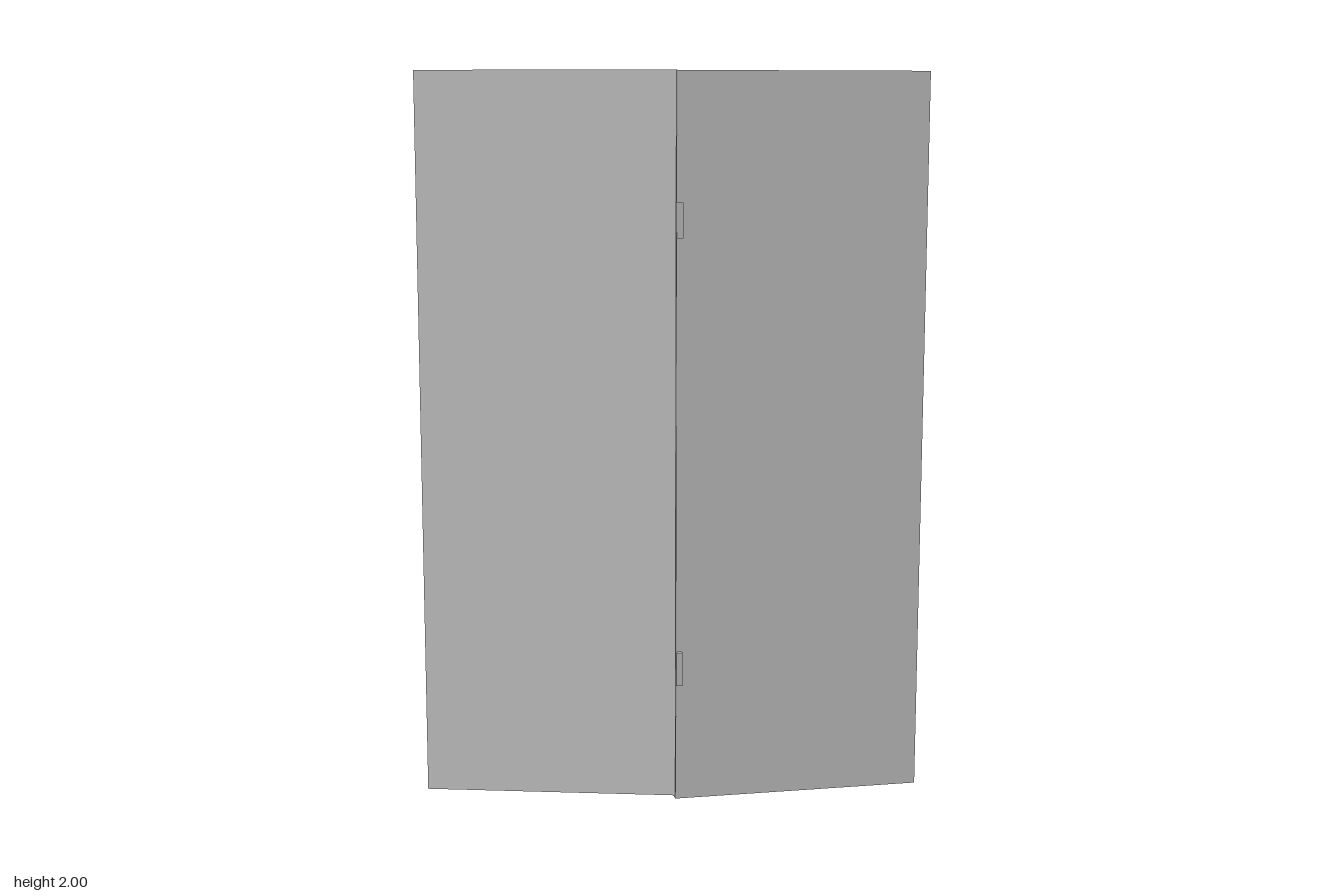
import * as THREE from 'three';

export function createModel() {
  const model = new THREE.Group();
  const material = new THREE.MeshStandardMaterial({ color: 0xcccccc, flatShading: true });

  // Box given by its lower and upper limits on each axis
  function panel(name, [x0, x1], [y0, y1], [z0, z1], parent) {
    const mesh = new THREE.Mesh(new THREE.BoxGeometry(x1 - x0, y1 - y0, z1 - z0), material);
    mesh.position.set((x0 + x1) / 2, (y0 + y1) / 2, (z0 + z1) / 2);
    mesh.name = name;
    parent.add(mesh);
    return mesh;
  }

  // Cabinet carcass, open on the -x side
  const X = [-0.01, 0.686], Y = [0, 2], Z = [-0.375, 0.319], t = 0.03;
  const innerX = [X[0], X[1] - t], innerY = [t, Y[1] - t], innerZ = [Z[0] + t, Z[1] - t];
  const cabinet = new THREE.Group();
  cabinet.name = 'cabinet';
  panel('bottomPanel', X, [0, t], Z, cabinet);
  panel('topPanel', X, [Y[1] - t, Y[1]], Z, cabinet);
  panel('innerBackPanel', [X[1] - t, X[1]], innerY, Z, cabinet);
  panel('hingeSidePanel', innerX, innerY, [innerZ[1], Z[1]], cabinet);
  panel('farSidePanel', innerX, innerY, [Z[0], innerZ[0]], cabinet);

  // Shelf set back from the opening
  panel('shelf', [0.11, innerX[1]], [0.895, 0.922], innerZ, cabinet);
  model.add(cabinet);

  // Door swung wide open
  const door = new THREE.Mesh(new THREE.BoxGeometry(0.69, 1.97, 0.04), material);
  door.name = 'door';
  door.position.set(-0.349, 1.015, 0.265);
  door.rotation.y = THREE.MathUtils.degToRad(-14.8);
  model.add(door);

  // Hinges
  for (const y of [0.377, 1.608]) {
    panel('hinge', [-0.033, 0.007], [y - 0.047, y + 0.047], [0.296, 0.333], model);
  }
  return model;
}
